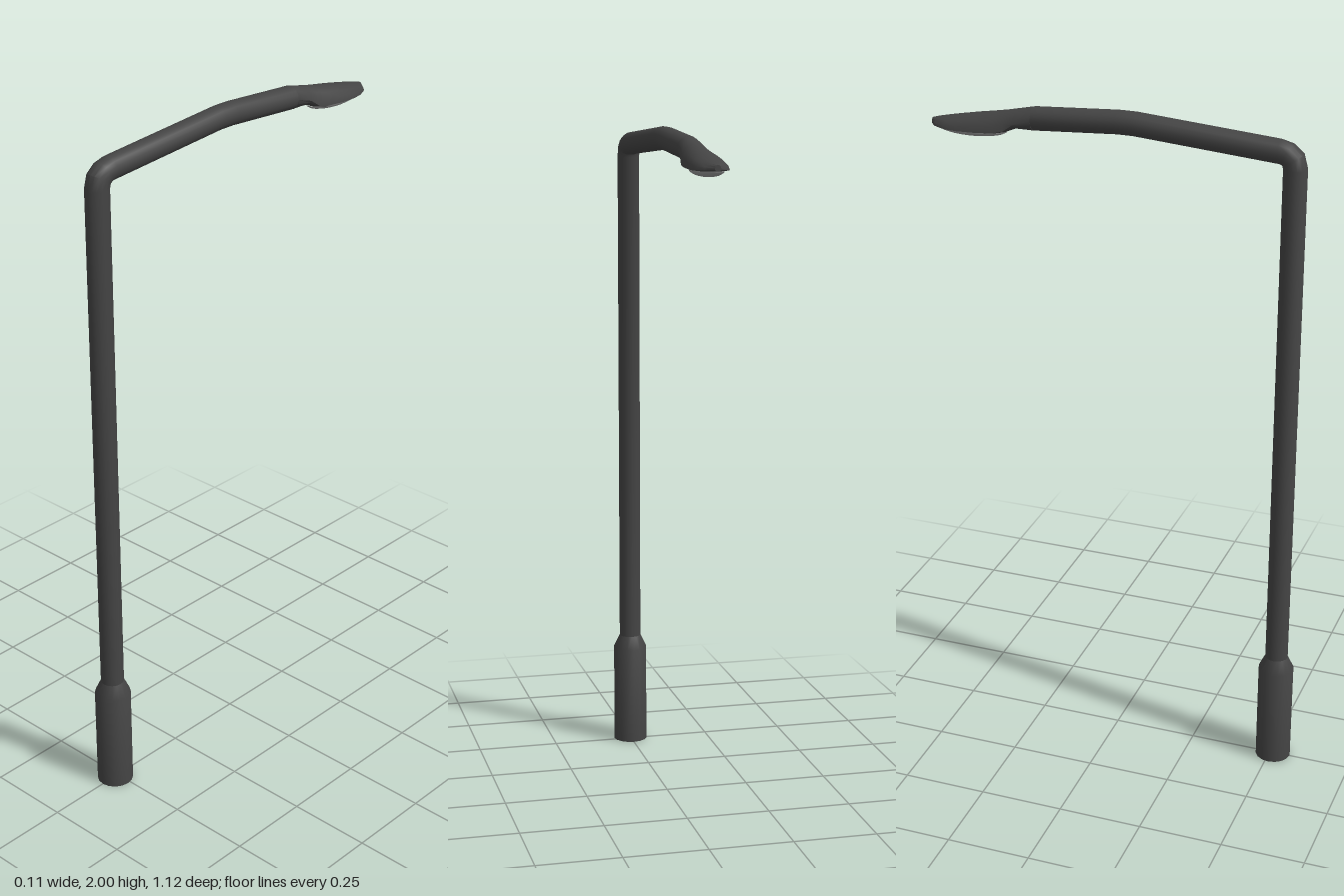
import * as THREE from 'three';
import { toCreasedNormals } from 'three/addons/utils/BufferGeometryUtils.js';

const SIDES = 16;
const POLE_Z = 0.51;
const R = 0.034;

// Skin closed rings together; ring = { z, y, tilt (deg), w, up, down }.
// tilt 0 is a horizontal ring, tilt 90 a ring facing along z.
function loft(rings) {
  const pos = [], index = [];
  for (const { z, y, tilt, w, up, down } of rings) {
    const t = THREE.MathUtils.degToRad(tilt);
    for (let j = 0; j < SIDES; j++) {
      const a = (j / SIDES) * Math.PI * 2;
      const h = Math.sin(a) * (Math.sin(a) > 0 ? up : down);
      pos.push(w * Math.cos(a), y + h * Math.sin(t), z + h * Math.cos(t));
    }
  }
  for (let i = 0; i < rings.length - 1; i++) {
    for (let j = 0; j < SIDES; j++) {
      const k = (j + 1) % SIDES;
      const a = i * SIDES + j, b = i * SIDES + k;
      const c = a + SIDES, d = b + SIDES;
      index.push(a, c, b, b, c, d);
    }
  }
  // end caps
  const last = (rings.length - 1) * SIDES;
  for (let j = 1; j < SIDES - 1; j++) {
    index.push(0, j, j + 1, last, last + j + 1, last + j);
  }
  const geo = new THREE.BufferGeometry();
  geo.setAttribute('position', new THREE.Float32BufferAttribute(pos, 3));
  geo.setIndex(index);
  return toCreasedNormals(geo, 0.6);
}

const round = (z, y, tilt, r = R) => ({ z, y, tilt, w: r, up: r, down: r });

export function createModel() {
  const group = new THREE.Group();
  const metal = new THREE.MeshStandardMaterial({ color: 0x444444 });
  const glass = new THREE.MeshStandardMaterial({ color: 0x999999 });
  const add = (name, geometry, material) => {
    const mesh = new THREE.Mesh(geometry, material);
    mesh.name = name;
    group.add(mesh);
    return mesh;
  };

  // wide base sleeve with a tapered shoulder
  add('base', loft([
    round(POLE_Z, 0, 0, 0.053),
    round(POLE_Z, 0.31, 0, 0.053),
    round(POLE_Z, 0.35, 0, R),
  ]), metal);

  // pole, elbow and gently bowed arm in one run
  add('poleAndArm', loft([
    round(POLE_Z, 0.34, 0),
    round(POLE_Z, 1.89, 0),
    round(0.503, 1.915, 30),
    round(0.485, 1.929, 60),
    round(0.465, 1.934, 86),
    round(0.05, 1.966, 88),
    round(0.0, 1.966, 91),
    round(-0.25, 1.95, 93),
  ]), metal);

  // lamp head: round at the arm, then a widening dome with a flat underside
  // columns: z, rim height, half width, rise above rim, drop below rim
  const head = [
    [-0.25, 1.95, 0.034, 0.034, 0.034],
    [-0.30, 1.936, 0.038, 0.037, 0.018],
    [-0.33, 1.915, 0.043, 0.052, 0.008],
    [-0.36, 1.908, 0.048, 0.053, 0.004],
    [-0.42, 1.905, 0.052, 0.045, 0.003],
    [-0.47, 1.904, 0.052, 0.036, 0.003],
    [-0.51, 1.904, 0.046, 0.028, 0.003],
    [-0.545, 1.906, 0.031, 0.019, 0.003],
    [-0.562, 1.908, 0.009, 0.013, 0.003],
  ];
  add('lampHead', loft(head.map(([z, y, w, up, down]) =>
    ({ z, y, tilt: 90, w, up, down }))), metal);

  // shallow lens bulging below the head
  const bowl = new THREE.SphereGeometry(1, 20, 6, 0, Math.PI * 2, Math.PI / 2, Math.PI / 2);
  bowl.scale(0.043, 0.021, 0.108);
  const lens = add('lens', bowl, glass);
  lens.position.set(0, 1.904, -0.44);

  return group;
}
